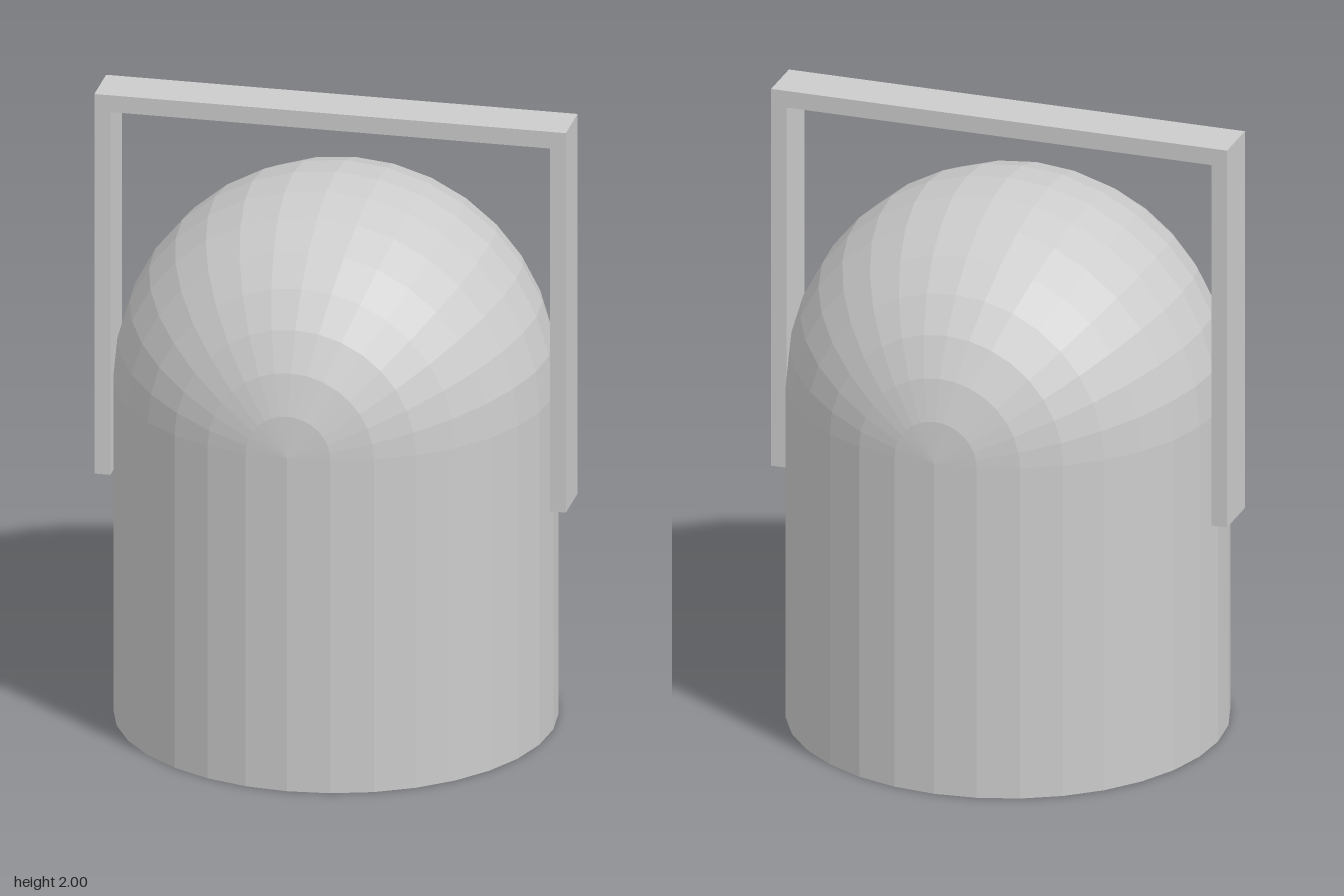
import * as THREE from 'three';

const R = 0.682, WALL_TOP = 1.095;

export function createModel() {
  const model = new THREE.Group();
  model.name = 'domedCanister';
  const grey = new THREE.MeshStandardMaterial({ color: 0xcccccc, flatShading: true });

  const add = (name, geometry, y = 0) => {
    const mesh = new THREE.Mesh(geometry, grey);
    mesh.name = name;
    mesh.position.y = y;
    model.add(mesh);
  };

  // Faceted cylindrical body, closed at both ends
  add('body', new THREE.CylinderGeometry(R, R, WALL_TOP, 32), WALL_TOP / 2);

  // Half-sphere dome whose poles lie on the front and back
  const dome = new THREE.SphereGeometry(R, 16, 16, Math.PI, Math.PI);
  dome.rotateX(Math.PI / 2);
  add('dome', dome, WALL_TOP);

  // Square bracket handle: one bent strip of constant thickness
  const outer = 0.74, inner = 0.69, top = 2, underside = 1.945, foot = 0.75, depth = 0.164;
  const outline = new THREE.Shape([
    [-outer, foot], [-inner, foot], [-inner, underside], [inner, underside],
    [inner, foot], [outer, foot], [outer, top], [-outer, top],
  ].map(([x, y]) => new THREE.Vector2(x, y)));
  const handle = new THREE.ExtrudeGeometry(outline, { depth, bevelEnabled: false });
  handle.translate(0, 0, -depth / 2);
  add('handle', handle);

  return model;
}
